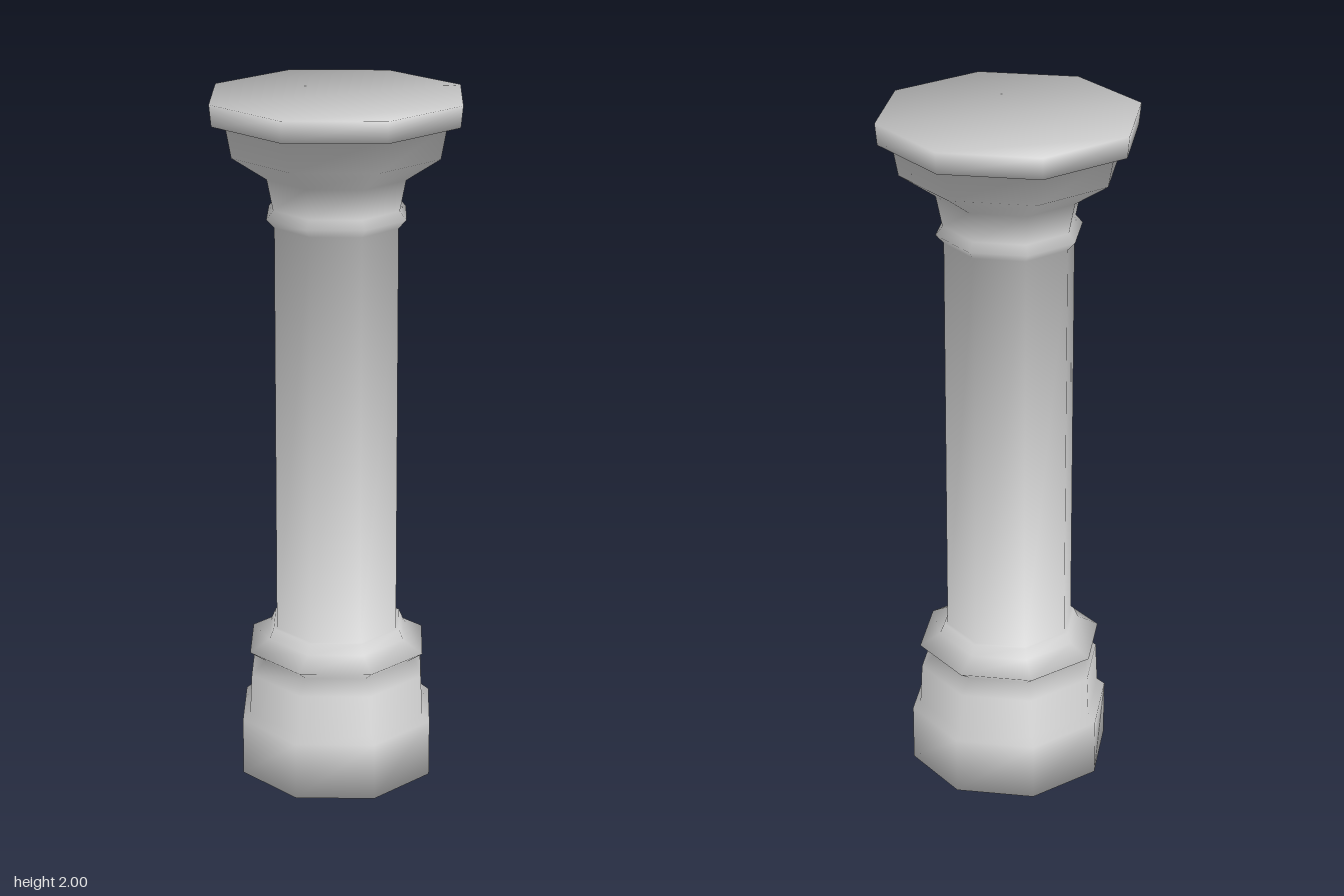
import * as THREE from 'three';

const SIDES = 8;
const material = new THREE.MeshStandardMaterial({ color: 0xcccccc });

// Whole outline as [radius, height], from the centre of the foot to the centre of the top
const outline = [
  [0, 0], [0.295, 0], [0.295, 0.17], [0.272, 0.19], [0.266, 0.31],
  [0.222, 0.347], [0.27, 0.381], [0.21, 0.415], [0.197, 0.445], [0.187, 0.446],
  [0.185, 1.643], [0.208, 1.668], [0.188, 1.692],
  [0.206, 1.78], [0.307, 1.848], [0.324, 1.937], [0.363, 1.939], [0.369, 2], [0, 2],
].map(([r, y]) => new THREE.Vector2(r, y));

// Outward direction of the outline piece that starts at point i
function facing(i) {
  const d = outline[i + 1].clone().sub(outline[i]).normalize();
  return new THREE.Vector2(d.y, -d.x);
}

// Triangles of a flat octagon, zigzagging across it
function capIndices(firstVertex, up) {
  const strip = [0, 1, 7, 2, 6, 3, 5, 4].map((j) => firstVertex + j);
  const index = [];
  for (let k = 0; k < SIDES - 2; k++) {
    const [a, b, c] = strip.slice(k, k + 3);
    index.push(...((k % 2 === 0) === up ? [a, b, c] : [a, c, b]));
  }
  return index;
}

// Eight-sided section between two outline points, shaded smoothly into its neighbours
function section(name, first, last) {
  const positions = [], normals = [], index = [];
  for (let i = first; i <= last; i++) {
    const { x: r, y } = outline[i];
    const n = facing(i - 1).add(facing(i)).normalize();
    for (let j = 0; j < SIDES; j++) {
      const angle = (j / SIDES) * Math.PI * 2;
      const s = Math.sin(angle), c = Math.cos(angle);
      positions.push(r * s, y, r * c);
      normals.push(n.x * s, n.y, n.x * c);
      if (i < last) {
        const row = (i - first) * SIDES, next = (j + 1) % SIDES;
        const a = row + j, b = row + next;
        index.push(a, b, b + SIDES, a, b + SIDES, a + SIDES);
      }
    }
  }
  // Close the foot and the top
  if (first === 1) index.push(...capIndices(0, false));
  if (last === outline.length - 2) index.push(...capIndices((last - first) * SIDES, true));

  const geometry = new THREE.BufferGeometry();
  geometry.setAttribute('position', new THREE.Float32BufferAttribute(positions, 3));
  geometry.setAttribute('normal', new THREE.Float32BufferAttribute(normals, 3));
  geometry.setIndex(index);
  const mesh = new THREE.Mesh(geometry, material);
  mesh.name = name;
  return mesh;
}

export function createModel() {
  const column = new THREE.Group();
  column.name = 'column';
  column.add(
    section('base', 1, 9),             // plinth and pointed moulding
    section('shaftWithCollar', 9, 12), // plain shaft and narrow ring
    section('capital', 12, 17),        // flare and flat slab
  );
  return column;
}
